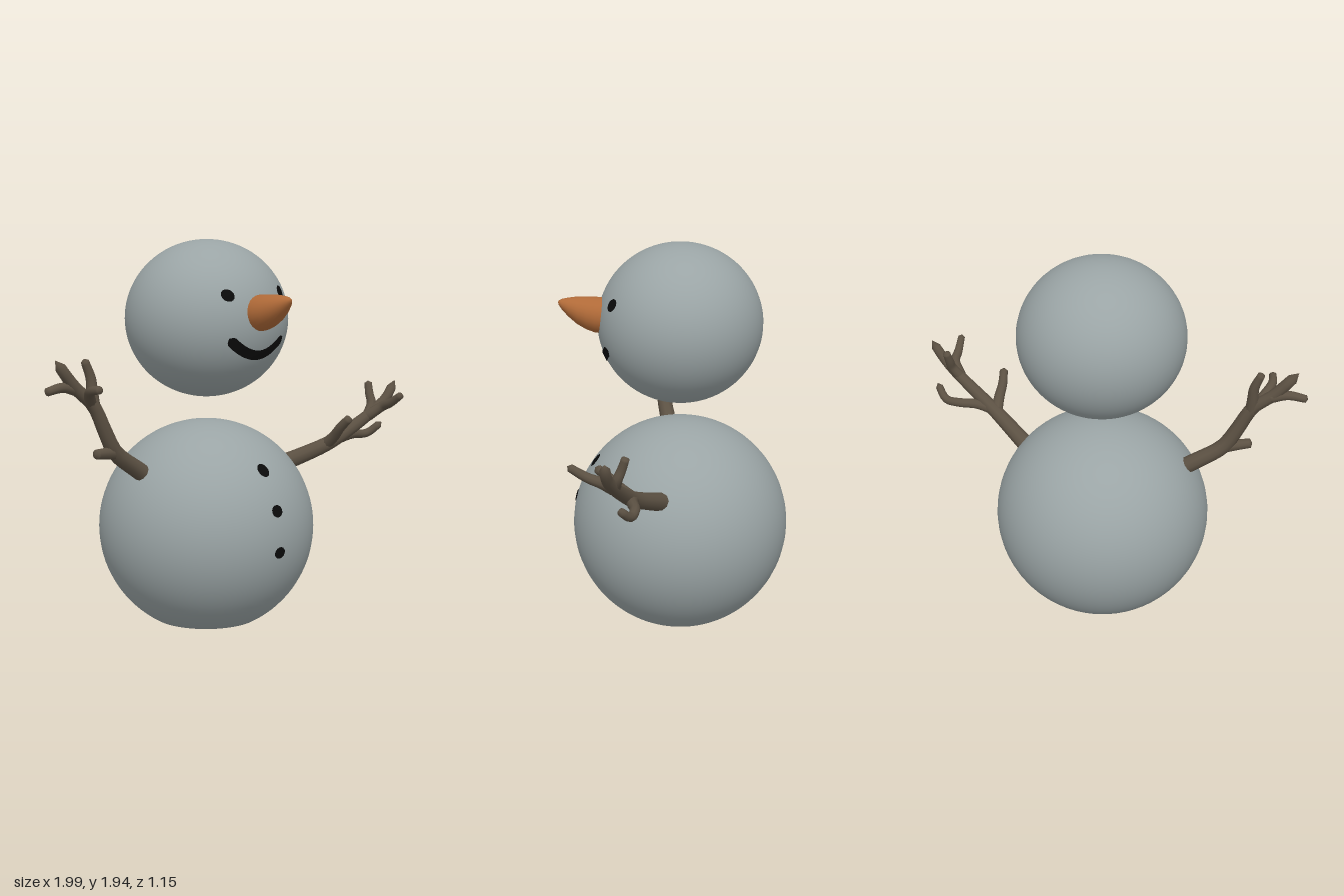
import * as THREE from 'three';
import { mergeVertices } from 'three/addons/utils/BufferGeometryUtils.js';

const V = (x, y, z) => new THREE.Vector3(x, y, z);
const mat = (name, color) => {
  const m = new THREE.MeshStandardMaterial({ color });
  m.name = name;
  return m;
};

// Snowball centres and radii
const BODY = { c: V(0.013, 0.48, -0.025), r: V(0.553, 0.55, 0.55) };
const HEAD = { c: V(0.015, 1.545, -0.025), r: V(0.415, 0.395, 0.408) };

// Move every vertex by a rule, then weld and smooth
function reshape(geo, rule) {
  const p = geo.attributes.position;
  const v = V();
  for (let i = 0; i < p.count; i++) {
    v.fromBufferAttribute(p, i);
    rule(v, i);
    p.setXYZ(i, v.x, v.y, v.z);
  }
  geo.deleteAttribute('uv');
  geo.deleteAttribute('normal');
  const out = mergeVertices(geo, 1e-5);
  out.computeVertexNormals();
  return out;
}

// Ellipsoid that is flattened where it meets the ground
function snowball(ball) {
  return reshape(new THREE.SphereGeometry(1, 56, 48), (v) => {
    v.multiply(ball.r).add(ball.c);
    v.y = Math.max(v.y, 0);
  });
}

// Lay a vertex on the front of a ball, just above the snow
function drape(v, ball) {
  const dx = (v.x - ball.c.x) / ball.r.x;
  const dy = (v.y - ball.c.y) / ball.r.y;
  v.z = ball.c.z + ball.r.z * Math.sqrt(Math.max(0, 1 - dx * dx - dy * dy)) + 0.005;
}

function dot(ball, x, y, rx, ry) {
  return reshape(new THREE.CircleGeometry(1, 20), (v) => {
    v.set(x + v.x * rx, y + v.y * ry, 0);
    drape(v, ball);
  });
}

// Tapered stick through the given points, closed at its tip
function stick(points, r0, r1) {
  const curve = new THREE.CatmullRomCurve3(points.map((p) => V(...p)));
  const seg = 18, sides = 10;
  return reshape(new THREE.TubeGeometry(curve, seg, 1, sides), (v, i) => {
    const ring = Math.floor(i / (sides + 1));
    const t = ring / seg;
    const centre = curve.getPointAt(t);
    let r = THREE.MathUtils.lerp(r0, r1, t);
    if (ring === seg) r = 0;
    v.sub(centre).multiplyScalar(r).add(centre);
  });
}

export function createModel() {
  const snow = mat('snow', 0x9aa4a5);
  const carrot = mat('carrot', 0xb06a38);
  const wood = mat('wood', 0x5c5143);
  const coal = mat('coal', 0x0a0a0a);

  const model = new THREE.Group();
  model.name = 'snowman';
  const add = (name, geo, material, parent = model) => {
    const mesh = new THREE.Mesh(geo, material);
    mesh.name = name;
    parent.add(mesh);
  };

  add('body', snowball(BODY), snow);
  add('head', snowball(HEAD), snow);

  // Carrot nose: a bulging cone whose tip bends upward
  const profile = [[0.085, 0], [0.089, 0.04], [0.087, 0.08], [0.08, 0.12], [0.066, 0.165],
    [0.046, 0.205], [0.026, 0.235], [0.012, 0.249], [0, 0.253]];
  const nose = new THREE.LatheGeometry(profile.map(([r, h]) => new THREE.Vector2(r, h)), 24);
  nose.rotateX(Math.PI / 2);
  add('nose', reshape(nose, (v) => {
    const t = v.z / 0.253;
    v.set(v.x + 0.012, v.y + 1.588 + 0.072 * t * t, v.z + 0.32);
  }), carrot);

  // Eyes and buttons
  add('rightEye', dot(HEAD, -0.16, 1.68, 0.03, 0.029), coal);
  add('leftEye', dot(HEAD, 0.19, 1.686, 0.03, 0.03), coal);
  [0.825, 0.637, 0.433].forEach((y) => add('button', dot(BODY, 0, y, 0.033, 0.029), coal));

  // Smile: a strip following a curve, with rounded ends
  const smile = new THREE.CatmullRomCurve3([[-0.168, 1.475], [-0.12, 1.433], [-0.055, 1.398],
    [0.012, 1.385], [0.075, 1.398], [0.135, 1.43], [0.19, 1.465]].map(([x, y]) => V(x, y, 0)));
  add('mouth', reshape(new THREE.PlaneGeometry(1, 2, 32, 4), (v) => {
    const t = v.x + 0.5;
    const c = smile.getPointAt(t);
    const d = smile.getTangentAt(t);
    const w = v.y * 0.024 * Math.sqrt(Math.min(1, Math.min(t, 1 - t) / 0.06));
    v.set(c.x - d.y * w, c.y + d.x * w, 0);
    drape(v, HEAD);
  }), coal);

  // Branch arms: the first stick is the limb, the rest are twigs
  const arms = {
    rightArm: [
      [[[-0.38, 0.775, -0.01], [-0.45, 0.825, -0.01], [-0.6, 0.93, 0.005], [-0.66, 1.03, 0.01],
        [-0.735, 1.175, 0.01], [-0.83, 1.26, 0.005], [-0.945, 1.4, 0.005]], 0.045, 0.026],
      [[[-0.58, 0.925, 0], [-0.65, 0.935, 0.015], [-0.745, 0.943, 0.035]], 0.034, 0.023],
      [[[-0.73, 1.16, 0.01], [-0.732, 1.24, 0], [-0.735, 1.3, -0.005], [-0.77, 1.395, -0.01]], 0.032, 0.019],
      [[[-0.82, 1.25, 0], [-0.9, 1.27, 0], [-1, 1.255, 0]], 0.028, 0.019],
      [[[-0.75, 1.19, 0.01], [-0.8, 1.24, 0.07], [-0.822, 1.26, 0.12], [-0.82, 1.27, 0.19]], 0.03, 0.018],
    ],
    leftArm: [
      [[[0.43, 0.765, 0.1], [0.5, 0.8, 0.155], [0.63, 0.87, 0.25], [0.75, 0.95, 0.31],
        [0.87, 1.04, 0.36], [0.93, 1.1, 0.385], [0.985, 1.19, 0.395]], 0.046, 0.024],
      [[[0.62, 0.86, 0.24], [0.615, 0.92, 0.31], [0.605, 0.97, 0.36], [0.608, 1.03, 0.425]], 0.032, 0.021],
      [[[0.64, 0.875, 0.255], [0.73, 0.895, 0.262], [0.82, 0.9, 0.255], [0.9, 0.9, 0.28],
        [0.955, 0.96, 0.335]], 0.03, 0.019],
      [[[0.83, 1.01, 0.345], [0.87, 1.07, 0.335], [0.875, 1.12, 0.315], [0.885, 1.185, 0.295]], 0.028, 0.019],
      [[[0.83, 1.01, 0.35], [0.87, 1.06, 0.41], [0.865, 1.085, 0.47], [0.86, 1.14, 0.555]], 0.03, 0.018],
    ],
  };
  for (const [name, sticks] of Object.entries(arms)) {
    const arm = new THREE.Group();
    arm.name = name;
    sticks.forEach(([pts, r0, r1], i) => add(i ? 'twig' : 'limb', stick(pts, r0, r1), wood, arm));
    model.add(arm);
  }
  return model;
}
